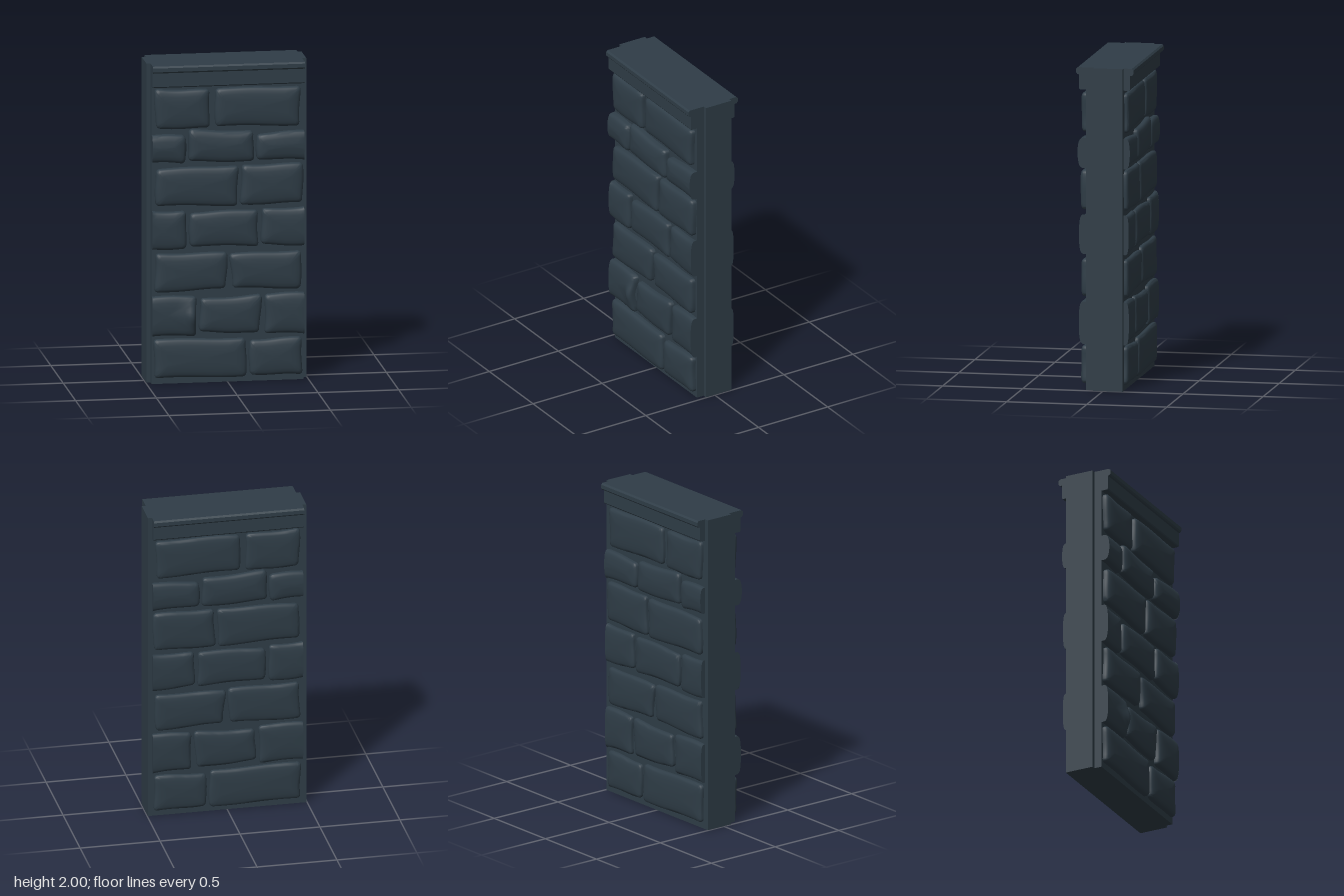
import * as THREE from 'three';
import { toCreasedNormals } from 'three/addons/utils/BufferGeometryUtils.js';

const HALF = 0.47, FRONT = 0.11, BACK = -0.123;

// Stone outlines per course: corners BL, BR, TR, TL as x,y pairs.
// Corners beyond the wall's half width are cut flush with its edge.
const courses = [
  { depth: 0.046, stones: [
    [-0.455, 0.04, 0.112, 0.035, 0.112, 0.275, -0.455, 0.28],
    [0.133, 0.045, 0.457, 0.035, 0.457, 0.27, 0.135, 0.26]] },
  { depth: 0.047, stones: [
    [-0.56, 0.305, -0.2, 0.3, -0.197, 0.548, -0.56, 0.55],
    [-0.175, 0.322, 0.195, 0.303, 0.208, 0.542, -0.172, 0.525],
    [0.228, 0.303, 0.56, 0.287, 0.56, 0.552, 0.23, 0.545]] },
  { depth: 0.046, stones: [
    [-0.452, 0.577, -0.013, 0.588, -0.003, 0.813, -0.447, 0.818],
    [0.03, 0.59, 0.447, 0.575, 0.458, 0.812, 0.012, 0.803]] },
  { depth: 0.046, stones: [
    [-0.56, 0.85, -0.262, 0.842, -0.256, 1.078, -0.56, 1.087],
    [-0.236, 0.862, 0.187, 0.85, 0.182, 1.078, -0.238, 1.068],
    [0.208, 0.858, 0.56, 0.838, 0.56, 1.085, 0.208, 1.077]] },
  { depth: 0.048, stones: [
    [-0.447, 1.12, 0.058, 1.107, 0.062, 1.357, -0.447, 1.347],
    [0.078, 1.11, 0.462, 1.112, 0.464, 1.358, 0.086, 1.357]] },
  { depth: 0.056, stones: [
    [-0.56, 1.4, -0.264, 1.382, -0.26, 1.558, -0.56, 1.563],
    [-0.25, 1.393, 0.157, 1.38, 0.16, 1.568, -0.238, 1.588],
    [0.177, 1.393, 0.56, 1.378, 0.56, 1.567, 0.178, 1.55]] },
  { depth: 0.046, stones: [
    [-0.447, 1.602, -0.118, 1.597, -0.113, 1.837, -0.452, 1.848],
    [-0.076, 1.608, 0.442, 1.597, 0.447, 1.843, -0.08, 1.842]] },
];

// Inset from the outline and share of the depth, from wall to crown
const rings = [[0, -0.1], [0, 0.4], [0.003, 0.56], [0.009, 0.7], [0.02, 0.81], [0.04, 0.9], [0.07, 0.97]];

// Rounded rectangle, anticlockwise, with points along the straight runs
function outline(w, h, r) {
  const pts = [], corners = [[1, -1], [1, 1], [-1, 1], [-1, -1]];
  const arc = (k, i) => {
    const a = -Math.PI / 2 + (k + i / 4) * Math.PI / 2;
    return [corners[k][0] * (w / 2 - r) + r * Math.cos(a), corners[k][1] * (h / 2 - r) + r * Math.sin(a)];
  };
  for (let k = 0; k < 4; k++) {
    for (let i = 0; i <= 4; i++) pts.push(arc(k, i));
    const a = arc(k, 4), b = arc((k + 1) % 4, 0);
    for (let i = 1; i < 8; i++) pts.push([a[0] + (b[0] - a[0]) * i / 8, a[1] + (b[1] - a[1]) * i / 8]);
  }
  return pts;
}

// Pillow-shaped stone on the front (side 1) or back (side -1)
function stoneGeometry(q, depth, side, seed, bump) {
  const w = (q[2] + q[4] - q[0] - q[6]) / 2, h = (q[5] + q[7] - q[1] - q[3]) / 2;
  const base = side > 0 ? FRONT : BACK;
  const pos = [], index = [];
  const add = (x, y, rise) => {
    const u = x / w + 0.5, v = y / h + 0.5;
    const mix = i => (q[i] * (1 - u) + q[2 + i] * u) * (1 - v) + (q[6 + i] * (1 - u) + q[4 + i] * u) * v;
    let px = mix(0) + 0.004 * Math.sin(v * 5 + seed);
    const py = mix(1) + 0.004 * Math.sin(u * 6 + seed * 2);
    if (bump) rise += 0.034 * Math.exp(-(((px + 0.22) / 0.04) ** 2) - ((py - 0.42) / 0.07) ** 2);
    px = Math.max(-HALF, Math.min(HALF, px));
    pos.push(px, py, base + side * rise);
  };
  const tri = (a, b, c) => side > 0 ? index.push(a, b, c) : index.push(a, c, b);
  let n = 0;
  rings.forEach(([inset, f]) => {
    const pts = outline(w - 2 * inset, h - 2 * inset, Math.max(0.004, 0.022 - inset * 0.2));
    n = pts.length;
    pts.forEach(([x, y]) => add(x, y, depth * f));
  });
  add(0, 0, depth);
  for (let r = 0; r < rings.length; r++) {
    for (let i = 0; i < n; i++) {
      const a = r * n + i, b = r * n + (i + 1) % n;
      if (r === rings.length - 1) tri(a, b, rings.length * n);
      else { tri(a, b, b + n); tri(a, b + n, a + n); }
    }
  }
  const g = new THREE.BufferGeometry();
  g.setAttribute('position', new THREE.Float32BufferAttribute(pos, 3));
  g.setIndex(index);
  return toCreasedNormals(g, 0.9);
}

export function createModel() {
  const group = new THREE.Group();
  const slate = new THREE.MeshStandardMaterial({ color: 0x2f3d47 });
  slate.name = 'slate';
  const add = (name, geometry, parent = group) => {
    const mesh = new THREE.Mesh(geometry, slate);
    mesh.name = name;
    parent.add(mesh);
    return mesh;
  };
  const slab = (name, x0, x1, y0, y1, z0, z1) =>
    add(name, new THREE.BoxGeometry(x1 - x0, y1 - y0, z1 - z0))
      .position.set((x0 + x1) / 2, (y0 + y1) / 2, (z0 + z1) / 2);

  // Wall core and the joining strips on its two ends
  slab('wallCore', -HALF, HALF, 0, 2, BACK, FRONT);
  slab('leftEndStrip', HALF, 0.495, 0, 2, BACK, 0.061);
  slab('rightEndStrip', -0.495, -HALF, 0, 2, BACK, 0.061);

  // Coping: stepped profile (z, y) run along the width
  const profile = [
    [0.1, 1.863], [0.15, 1.863], [0.155, 1.87], [0.155, 1.955], [0.165, 1.957], [0.172, 1.966], [0.172, 1.99], [0.162, 2],
    [-0.175, 2], [-0.185, 1.99], [-0.185, 1.966], [-0.177, 1.957], [-0.163, 1.955], [-0.163, 1.87], [-0.157, 1.863],
  ];
  const coping = new THREE.ExtrudeGeometry(
    new THREE.Shape(profile.map(([z, y]) => new THREE.Vector2(-z, y))),
    { depth: 2 * HALF, bevelEnabled: false });
  coping.rotateY(Math.PI / 2).translate(-HALF, 0, 0);
  add('coping', coping);

  // Stone facing on both sides
  for (const side of [1, -1]) {
    const facing = new THREE.Group();
    facing.name = side > 0 ? 'frontStones' : 'backStones';
    courses.forEach(({ depth, stones }, c) => stones.forEach((q, i) => {
      const d = side > 0 ? depth : depth * 0.72;
      add('stone', stoneGeometry(q, d, side, c * 2.3 + i * 1.7, side > 0 && c === 1 && i === 0), facing);
    }));
    group.add(facing);
  }
  return group;
}
